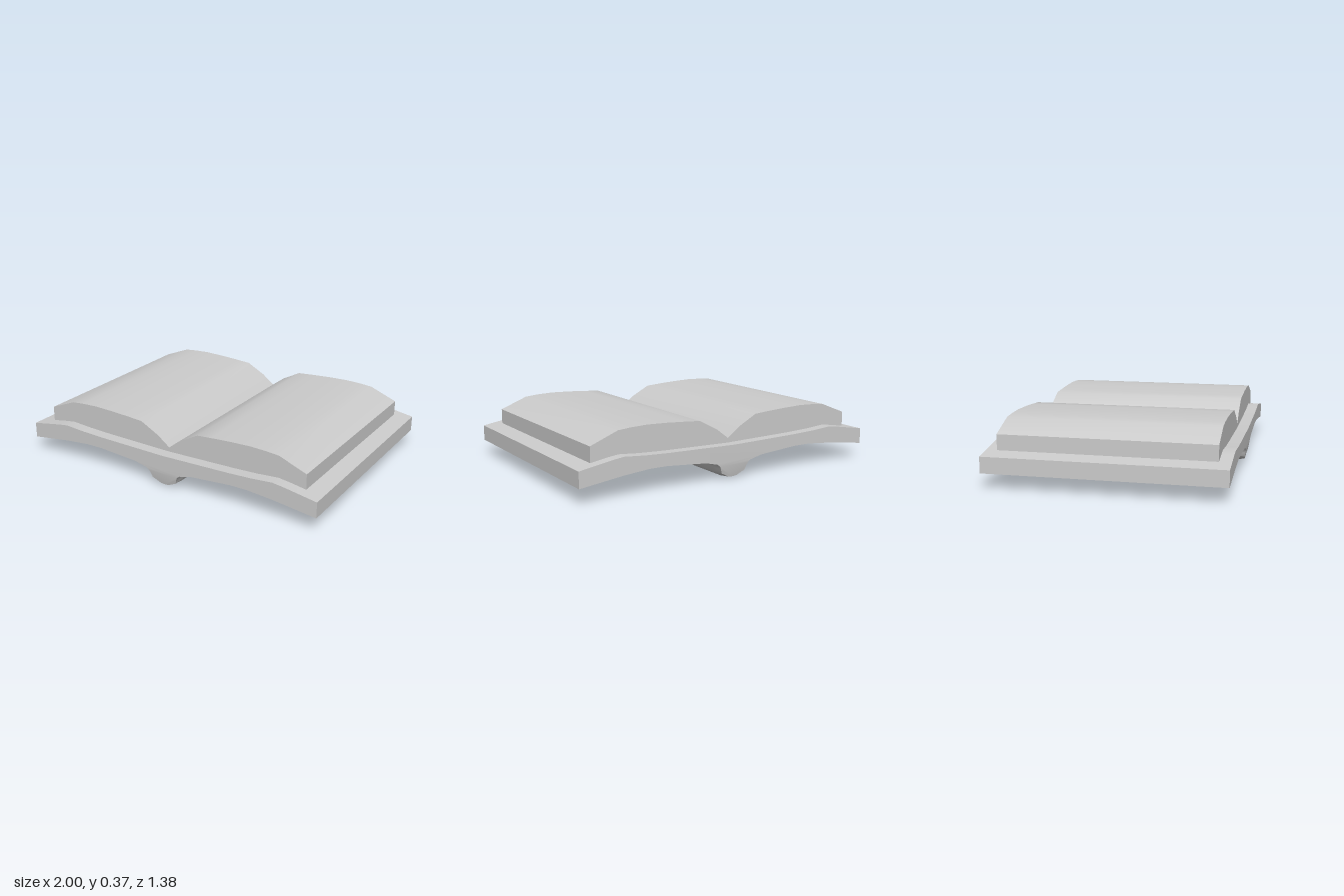
import * as THREE from 'three';
import { toCreasedNormals } from 'three/addons/utils/BufferGeometryUtils.js';

const material = new THREE.MeshStandardMaterial({ color: 0xcccccc });

// Half outline on +x, listed from the top centre round to the bottom centre; mirrored to -x
function mirroredShape(half) {
  const left = half.filter(([x]) => x > 0).reverse().map(([x, y]) => [-x, y]);
  return new THREE.Shape([...half, ...left].map(([x, y]) => new THREE.Vector2(x, y)));
}

// Extrude an outline along z through the given stations, with an optional rule per vertex
function loft(name, half, stations, rule = () => {}) {
  const steps = stations.length - 1;
  const geometry = new THREE.ExtrudeGeometry(mirroredShape(half), {
    depth: steps, steps, bevelEnabled: false,
  });
  const p = geometry.attributes.position;
  const v = new THREE.Vector3();
  for (let i = 0; i < p.count; i++) {
    v.fromBufferAttribute(p, i);
    const k = Math.round(v.z);
    v.z = stations[k];
    rule(v, k === 0 || k === steps);
    p.setXYZ(i, v.x, v.y, v.z);
  }
  const mesh = new THREE.Mesh(toCreasedNormals(geometry, 0.7), material);
  mesh.name = name;
  return mesh;
}

export function createModel() {
  const group = new THREE.Group();
  group.name = 'openBook';

  // Thick curved cover with the rounded spine hanging below its middle
  const cover = [
    [0, 0.203], [0.2, 0.207], [0.45, 0.212], [0.6, 0.218], [0.73, 0.228], [0.8, 0.219], [1, 0.185],
    [1, 0.09], [0.73, 0.125], [0.57, 0.139], [0.46, 0.139], [0.2, 0.119], [0.12, 0.1],
    [0.1, 0.085], [0.09, 0.065], [0.083, 0.04], [0.07, 0.024], [0.03, 0.003], [0, 0],
  ];
  group.add(loft('coverAndSpine', cover, [-0.69, -0.6, 0.6, 0.69], (v, isEnd) => {
    // The ends of the spine lean inward and lift a little
    if (!isEnd || v.y > 0.088) return;
    v.z -= Math.sign(v.z) * 0.018 * (0.09 - v.y) / 0.09;
    if (v.y < 0.03) v.y += 0.01;
  }));

  // Two fanned halves of the pages meeting in the gutter
  const pages = [
    [0, 0.23], [0.08, 0.29], [0.2, 0.353], [0.3, 0.36], [0.42, 0.367], [0.55, 0.371], [0.65, 0.367],
    [0.73, 0.36], [0.9, 0.293], [0.9, 0.198], [0.73, 0.222], [0.45, 0.208], [0, 0.2],
  ];
  group.add(loft('pages', pages, [-0.625, 0.62]));
  return group;
}
